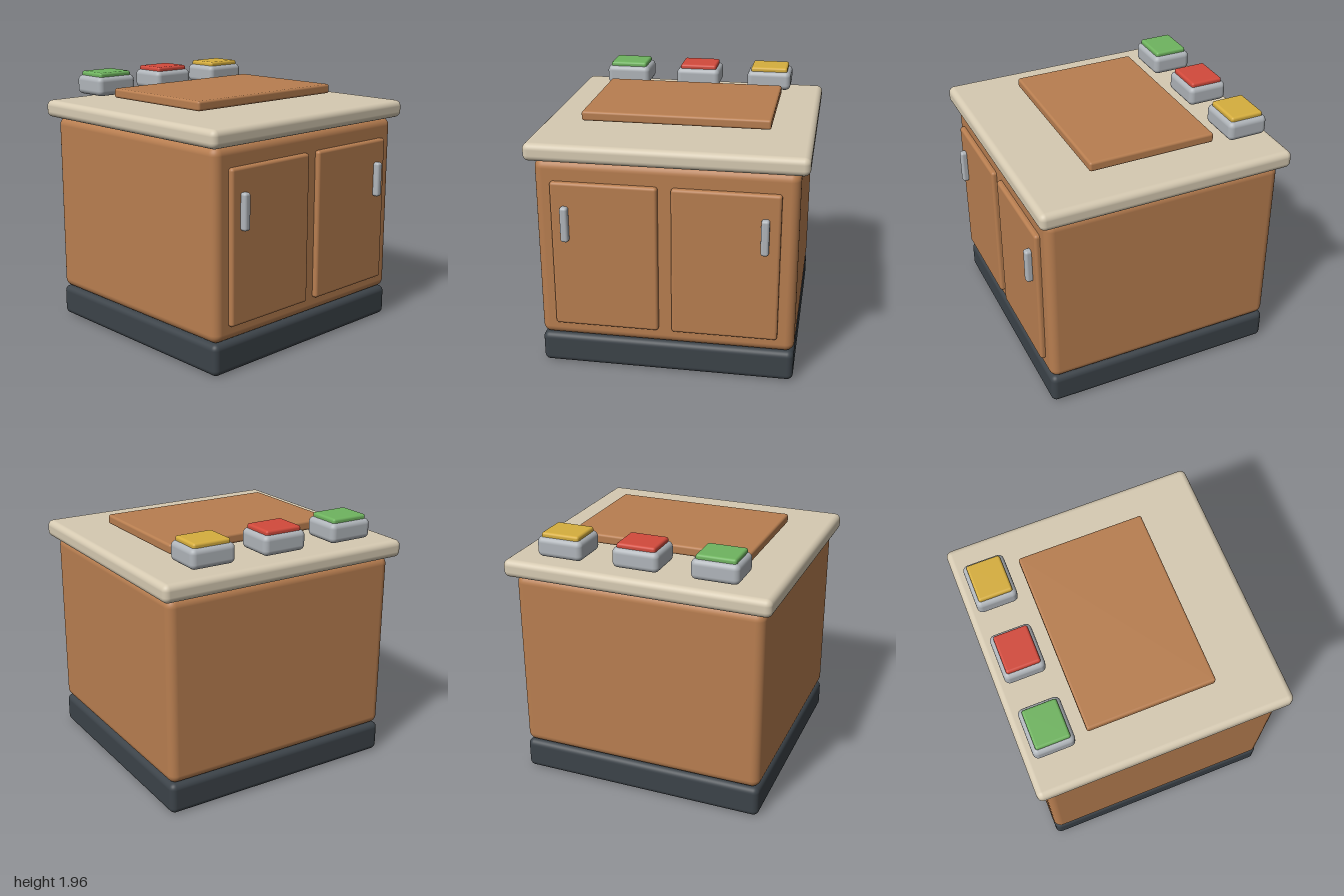
import * as THREE from 'three';
import { RoundedBoxGeometry } from 'three/addons/geometries/RoundedBoxGeometry.js';

function material(name, color) {
  const m = new THREE.MeshStandardMaterial({ color });
  m.name = name;
  return m;
}

export function createModel() {
  const model = new THREE.Group();
  model.name = 'kitchenIsland';

  const wood = material('wood', 0xb87e50);
  const stone = material('stone', 0xd6cab2);
  const dark = material('darkPlinth', 0x3c4349);
  const metal = material('metal', 0xb0b5ba);
  const green = material('green', 0x6fb45f);
  const red = material('red', 0xd24a3c);
  const yellow = material('yellow', 0xd6ae3e);

  // Rounded box given by its extents on each axis
  function box(name, mat, [x0, x1], [y0, y1], [z0, z1], radius) {
    const geometry = new RoundedBoxGeometry(x1 - x0, y1 - y0, z1 - z0, 4, radius);
    const mesh = new THREE.Mesh(geometry, mat);
    mesh.name = name;
    mesh.position.set((x0 + x1) / 2, (y0 + y1) / 2, (z0 + z1) / 2);
    model.add(mesh);
    return mesh;
  }

  // Cabinet
  box('plinth', dark, [-0.94, 0.94], [0, 0.235], [-0.913, 0.89], 0.045);
  box('cabinet', wood, [-0.94, 0.94], [0.235, 1.615], [-0.913, 0.89], 0.065);
  box('countertop', stone, [-1, 1], [1.612, 1.743], [-0.975, 0.945], 0.045);

  // Doors and handles, mirrored
  for (const [side, s] of [['left', 1], ['right', -1]]) {
    const cx = 0.433 * s;
    const hx = 0.712 * s;
    box(side + 'Door', wood, [cx - 0.385, cx + 0.385], [0.35, 1.465], [0.87, 0.927], 0.022);
    box(side + 'Handle', metal, [hx - 0.029, hx + 0.029], [1.027, 1.293], [0.915, 0.973], 0.02);
  }

  // Cutting board
  box('cuttingBoard', wood, [-0.692, 0.692], [1.778, 1.85], [-0.498, 0.462], 0.018);

  // Containers with coloured contents along the back
  [['green', green, -0.577], ['red', red, 0], ['yellow', yellow, 0.577]].forEach(([name, mat, x]) => {
    box(name + 'Container', metal, [x - 0.174, x + 0.174], [1.778, 1.925], [-0.9, -0.595], 0.04);
    box(name + 'Contents', mat, [x - 0.145, x + 0.145], [1.895, 1.955], [-0.873, -0.621], 0.018);
  });

  return model;
}
